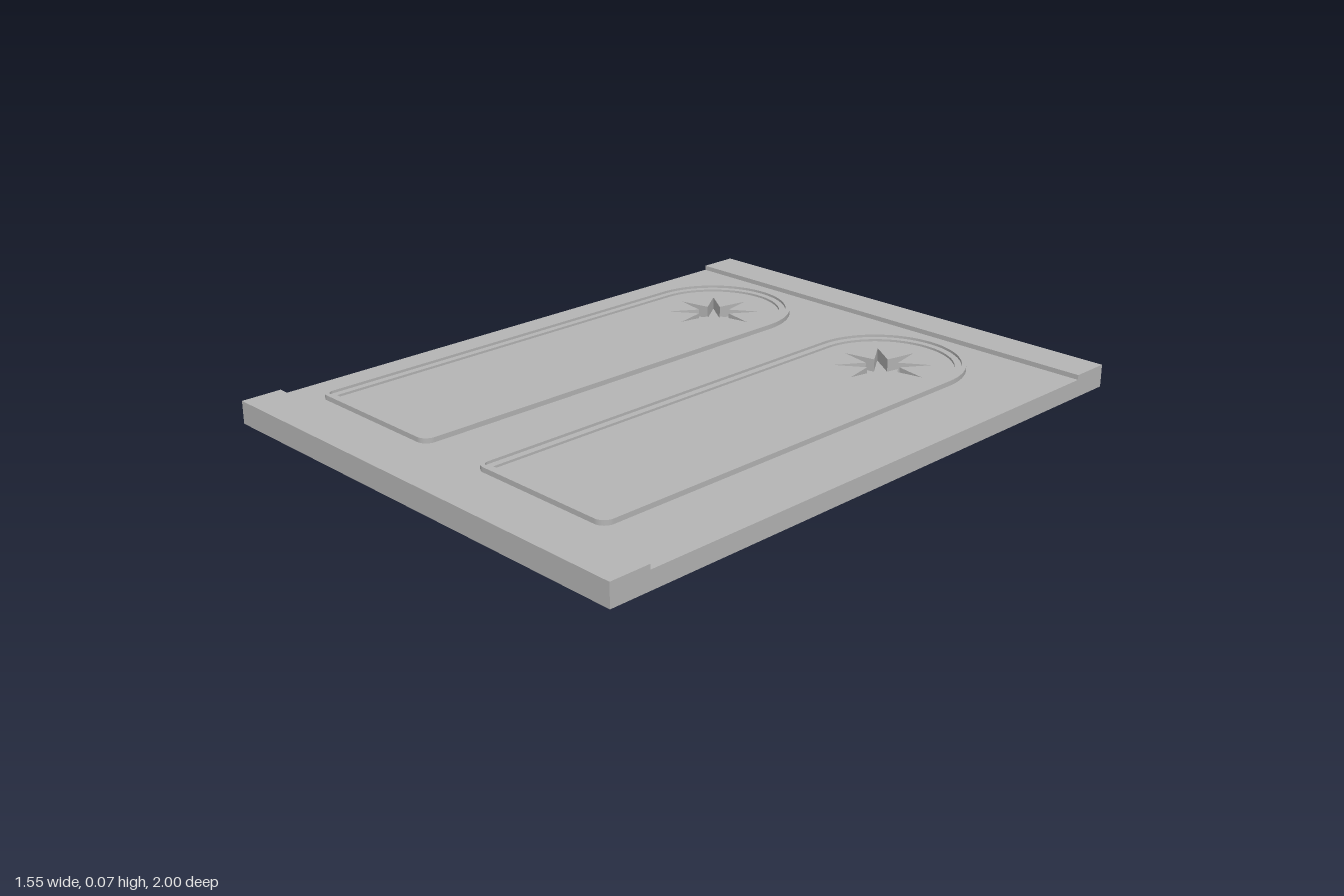
import * as THREE from 'three';

const W = 0.777, ROOT = 0.055, TOP = 0.07, STAR_FLOOR = 0.015;
const ARCH_Z = -0.56, FOOT_Z = 0.77, INNER_R = 0.216;
const panelCentres = [-0.427, 0.29];

// Shapes are drawn in plan with shape y = -z, then laid flat between two heights
function slab(shape, y0, y1) {
  const g = new THREE.ExtrudeGeometry(shape, { depth: y1 - y0, bevelEnabled: false, curveSegments: 32 });
  g.rotateX(-Math.PI / 2);
  g.translate(0, y0, 0);
  return g;
}

// Rectangle across the full width between two z positions
function rect(z0, z1) {
  return new THREE.Shape([[-W, -z1], [W, -z1], [W, -z0], [-W, -z0]].map(p => new THREE.Vector2(...p)));
}

// Arched outline grown outwards by `grow`, with rounded lower corners
function archOutline(cx, grow, Type = THREE.Shape) {
  const r = INNER_R + grow, foot = -(FOOT_Z + grow);
  const s = new Type();
  s.moveTo(cx - r + grow, foot);
  s.lineTo(cx + r - grow, foot);
  if (grow) s.absarc(cx + r - grow, foot + grow, grow, -Math.PI / 2, 0, false);
  s.lineTo(cx + r, -ARCH_Z);
  s.absarc(cx, -ARCH_Z, r, 0, Math.PI, false);
  s.lineTo(cx - r, foot + grow);
  if (grow) s.absarc(cx - r + grow, foot + grow, grow, Math.PI, Math.PI * 1.5, false);
  return s;
}

function ring(cx, outer, inner) {
  const s = archOutline(cx, outer);
  s.holes.push(archOutline(cx, inner, THREE.Path));
  return s;
}

// Eight-pointed star
function starPoints(cx) {
  return Array.from({ length: 16 }, (_, i) => {
    const a = i * Math.PI / 8, r = i % 2 ? 0.053 : 0.15;
    return new THREE.Vector2(cx + r * Math.cos(a), -ARCH_Z + r * Math.sin(a));
  });
}

export function createModel() {
  const model = new THREE.Group();
  const grey = new THREE.MeshStandardMaterial({ color: 0xb4b4b4 });
  grey.name = 'plain grey';
  const add = (name, geometry) => {
    const mesh = new THREE.Mesh(geometry, grey);
    mesh.name = name;
    model.add(mesh);
  };

  // Door board: solid backing below, upper layer pierced by the stars
  const pierced = rect(-1, 1);
  panelCentres.forEach(cx => pierced.holes.push(new THREE.Path(starPoints(cx))));
  add('backing', slab(rect(-1, 1), 0, STAR_FLOOR));
  add('board', slab(pierced, STAR_FLOOR, ROOT));

  // Raised rails across both ends
  add('topRail', slab(rect(-1, -0.873), ROOT, TOP));
  add('bottomRail', slab(rect(0.873, 1), ROOT, TOP));

  // Stepped moulding around each arched panel
  panelCentres.forEach((cx, i) => {
    const side = i ? 'left' : 'right';
    add(side + 'MouldingRidge', slab(ring(cx, 0.034, 0.021), ROOT, TOP));
    add(side + 'MouldingStep', slab(ring(cx, 0.021, 0), ROOT, 0.062));
  });
  return model;
}
